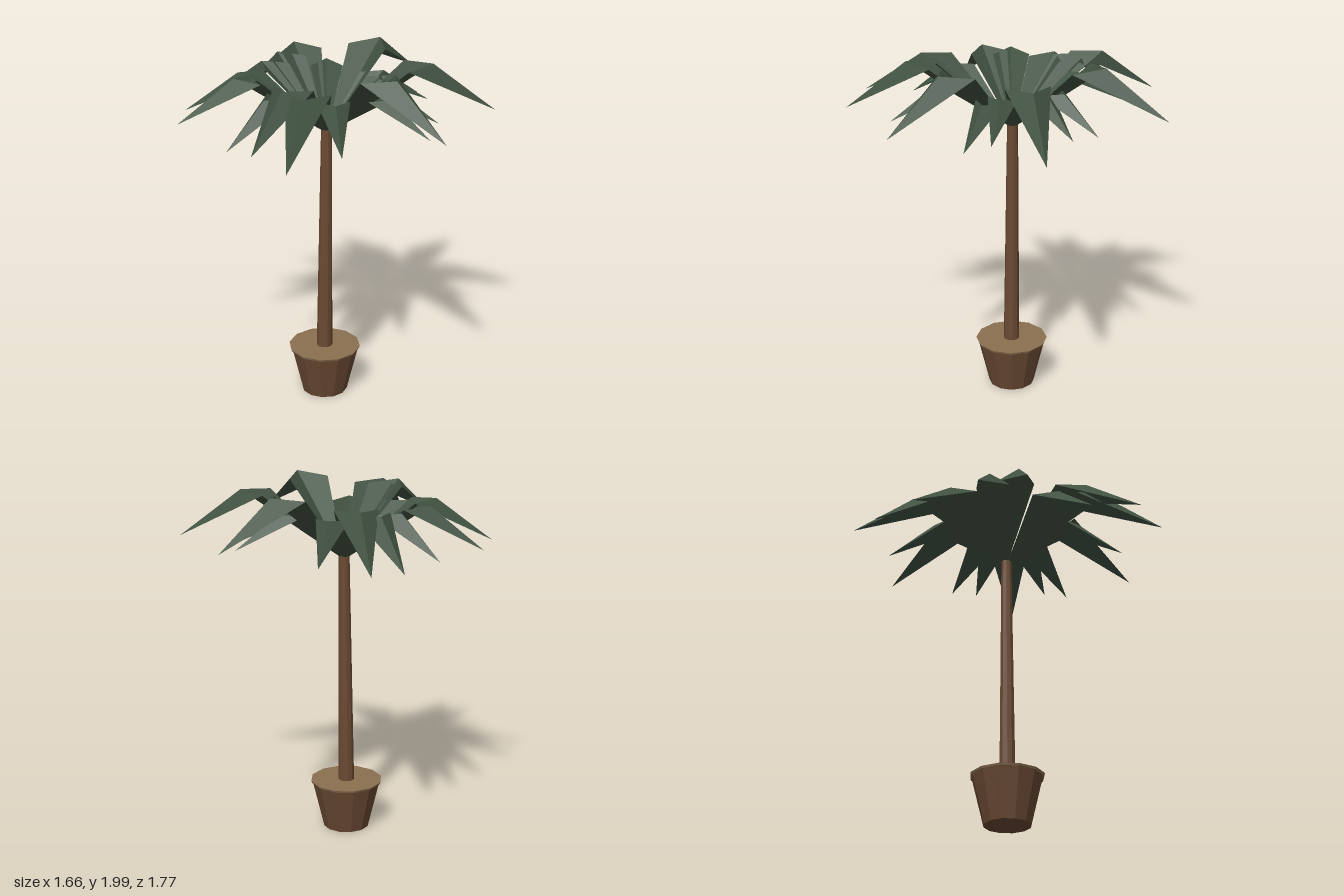
import * as THREE from 'three';

const mat = (name, color, side = THREE.FrontSide) => {
  const m = new THREE.MeshStandardMaterial({ color, side, flatShading: true });
  m.name = name;
  return m;
};

// One folded frond of unit length along +z: a trough rising to a bent elbow, then a ridge down to the tip
function frondGeometry() {
  const points = [
    0, 0, 0,            // root
    0, 0.33, 0.662,     // elbow ridge
    0.13, 0.335, 0.507, // elbow corners
    -0.13, 0.335, 0.507,
    0, 0, 1,            // tip
  ];
  const g = new THREE.BufferGeometry();
  g.setAttribute('position', new THREE.Float32BufferAttribute(points, 3));
  g.setIndex([0, 1, 2, 0, 3, 1, 1, 4, 2, 1, 3, 4]);
  const flat = g.toNonIndexed();
  flat.computeVertexNormals();
  return flat;
}

export function createModel() {
  const model = new THREE.Group();
  model.name = 'pottedPalm';
  const bark = mat('brown', 0x6b4a33);
  const soil = mat('tan', 0x8c7050);
  const green = mat('leafGreen', 0x405141, THREE.DoubleSide);

  const add = (name, geometry, material, x, y, z) => {
    const mesh = new THREE.Mesh(geometry, material);
    mesh.name = name;
    mesh.position.set(x, y, z);
    model.add(mesh);
    return mesh;
  };

  // Pot with a thin tan lid of soil
  add('pot', new THREE.CylinderGeometry(0.195, 0.13, 0.27, 12), bark, -0.05, 0.135, 0);
  add('soilRim', new THREE.CylinderGeometry(0.205, 0.2, 0.012, 12), soil, -0.05, 0.274, 0);

  // Trunk: tapered and leaning slightly to +x
  const trunk = new THREE.CylinderGeometry(0.03, 0.045, 1.35, 10);
  const p = trunk.attributes.position;
  for (let i = 0; i < p.count; i++) p.setX(i, p.getX(i) + 0.015 * (p.getY(i) / 1.35 + 0.5));
  trunk.computeVertexNormals();
  add('trunk', trunk, bark, -0.05, 0.945, 0);

  // Fronds, each given by the position of its tip
  const tips = [
    [0.02, 1.675, -0.89], [-0.17, 1.66, -0.81], [-0.395, 1.68, -0.655],
    [-0.715, 1.67, -0.375], [-0.835, 1.675, -0.14], [-0.705, 1.64, 0.275],
    [-0.68, 1.71, 0.575], [-0.565, 1.66, 0.75], [-0.225, 1.66, 0.645],
    [0.235, 1.74, 0.88], [0.34, 1.63, 0.505], [0.44, 1.68, 0.4],
    [0.83, 1.68, 0.31], [0.58, 1.68, 0], [0.59, 1.675, -0.15],
    [0.72, 1.735, -0.5], [0.235, 1.67, -0.635],
  ];
  const frond = frondGeometry();
  for (const [x, y, z] of tips) {
    const tip = new THREE.Vector3(x, y, z);
    const leaf = add('frond', frond, green, -0.035, 1.57, 0);
    leaf.lookAt(tip);
    leaf.scale.setScalar(leaf.position.distanceTo(tip));
  }
  return model;
}
